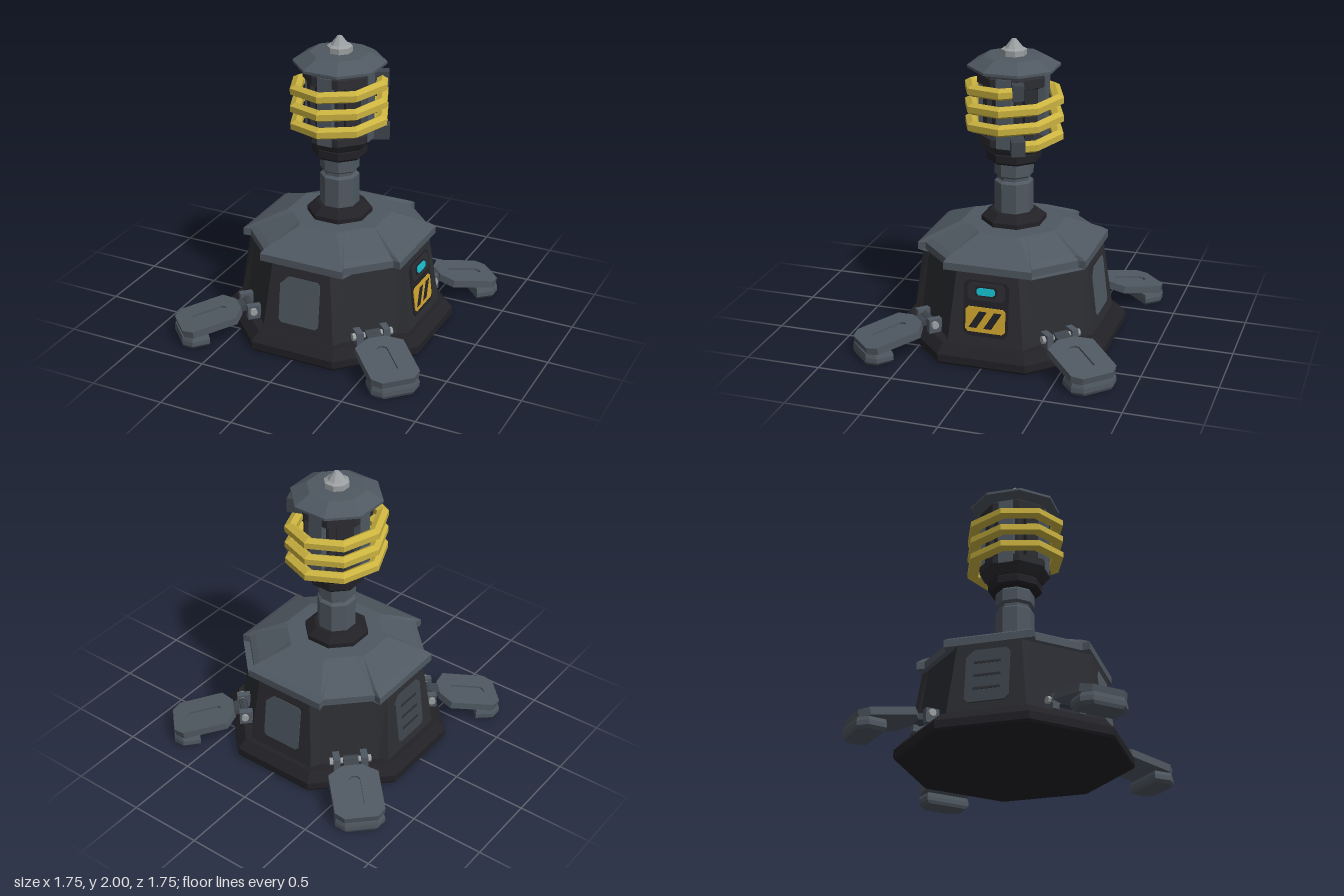
import * as THREE from 'three';

const mat = (name, color) => {
  const m = new THREE.MeshStandardMaterial({ color, flatShading: true });
  m.name = name;
  return m;
};

export function createModel() {
  const black = mat('black', 0x222126), dark = mat('dark body', 0x2c2d32);
  const slate = mat('slate', 0x3d444b), grey = mat('grey', 0x4f5861);
  const steel = mat('pale steel', 0x9a9fa1), coilYellow = mat('coil yellow', 0xcbb340);
  const signYellow = mat('sign yellow', 0xcfa42e), cyan = mat('cyan', 0x16c2d2);

  const root = new THREE.Group();
  root.name = 'beaconTower';
  const add = (parent, name, geo, m, x = 0, y = 0, z = 0) => {
    const mesh = new THREE.Mesh(geo, m);
    mesh.name = name;
    mesh.position.set(x, y, z);
    parent.add(mesh);
    return mesh;
  };
  const group = (parent, name, angle = 0) => {
    const g = new THREE.Group();
    g.name = name;
    g.rotation.y = angle;
    parent.add(g);
    return g;
  };
  const box = (w, h, d) => new THREE.BoxGeometry(w, h, d);

  // Octagonal solid with flats on the axes; the profile gives [apothem, y] upwards
  const octagon = (name, m, profile) => add(root, name, new THREE.LatheGeometry(
    profile.map(([r, y]) => new THREE.Vector2(r / Math.cos(Math.PI / 8), y)), 8, Math.PI / 8), m);

  // Joins rings of points with quads, and closes both ends with fans
  const loft = (rings) => {
    const n = rings[0].length, pos = rings.flat(2), idx = [];
    for (let i = 0; i < rings.length - 1; i++) for (let j = 0; j < n; j++) {
      const a = i * n + j, b = i * n + (j + 1) % n;
      idx.push(a, a + n, b, b, a + n, b + n);
    }
    const last = (rings.length - 1) * n;
    for (let j = 1; j < n - 1; j++) idx.push(0, j, j + 1, last, last + j + 1, last + j);
    const g = new THREE.BufferGeometry();
    g.setAttribute('position', new THREE.Float32BufferAttribute(pos, 3));
    g.setIndex(idx);
    g.computeVertexNormals();
    return g;
  };
  // 16-point outline: an axis face to (a, b), then a corner point (c, d), mirrored round
  const ring = (y, a, b, c, d) => {
    const out = [];
    for (let k = 0; k < 4; k++) {
      const s = Math.sin(k * Math.PI / 2), t = Math.cos(k * Math.PI / 2);
      for (const [x, z] of [[a, -b], [a, b], [c, d], [d, c]]) out.push([x * t - z * s, y, x * s + z * t]);
    }
    return out;
  };

  // Plinth, housing and roof, both with recessed diagonals
  octagon('plinth', black, [[0, 0], [0.7, 0], [0.71, 0.015], [0.71, 0.065], [0.655, 0.125], [0, 0.125]]);
  add(root, 'housing', loft([ring(0.12, 0.622, 0.255, 0.56, 0.285), ring(0.62, 0.562, 0.205, 0.505, 0.25)]), dark);
  add(root, 'roof', loft([
    ring(0.6, 0.572, 0.295, 0.522, 0.285), ring(0.65, 0.572, 0.295, 0.522, 0.285),
    ring(0.675, 0.53, 0.275, 0.485, 0.265), ring(0.775, 0.32, 0.133, 0.265, 0.165)]), grey);

  // Mast
  octagon('mastCollar', black, [[0.2, 0.77], [0.2, 0.805], [0.145, 0.85], [0, 0.85]]);
  octagon('mast', grey, [[0.12, 0.84], [0.12, 1.05], [0.1, 1.065], [0.1, 1.085],
    [0.12, 1.1], [0.12, 1.18], [0.105, 1.2]]);
  octagon('neckRing', black, [[0.1, 1.195], [0.155, 1.195], [0.168, 1.21], [0.168, 1.26], [0.15, 1.275], [0, 1.275]]);

  // Coil core with flared ends and ribs
  octagon('core', dark, [[0, 1.27], [0.175, 1.27], [0.22, 1.33], [0.22, 1.38], [0.175, 1.4],
    [0.175, 1.7], [0.22, 1.72], [0.22, 1.78], [0.2, 1.8], [0, 1.8]]);
  for (let k = 0; k < 8; k++) {
    const rib = group(root, 'coreRib', k * Math.PI / 4);
    const wide = k % 2 === 0;
    add(rib, 'rib', box(wide ? 0.1 : 0.06, 0.46, 0.06), wide ? grey : dark, 0, 1.555, wide ? 0.195 : 0.18);
  }

  // Cap and finial
  octagon('cap', grey, [[0, 1.795], [0.2, 1.795], [0.28, 1.818], [0.28, 1.835], [0.18, 1.895], [0, 1.9]]);
  octagon('finial', steel, [[0.077, 1.895], [0.077, 1.935], [0.055, 1.945], [0.022, 1.99], [0.015, 2], [0, 2]]);

  // Three-turn coil with a six-sided section; one turn is 1, starting at the back
  const turns = [-0.1875];
  for (let t = -0.125; t < 2.8; t += 0.125) turns.push(t);
  turns.push(2.8125);
  add(root, 'coil', loft(turns.map((t) => {
    const a = t * Math.PI * 2;
    const squeeze = Math.abs((t * 8) % 1) > 0.1 ? Math.cos(Math.PI / 8) : 1;
    return Array.from({ length: 6 }, (_, i) => {
      const b = (i + 0.5) * Math.PI / 3;
      const r = (0.297 + 0.044 * Math.cos(b)) * squeeze;
      return [-r * Math.sin(a), 1.38 + 0.12 * t + 0.04 * Math.sin(b), -r * Math.cos(a)];
    });
  })), coilYellow);
  // Clamps holding the coil ends
  const clamps = group(root, 'coilClamps', Math.PI * 0.625);
  add(clamps, 'lowerClamp', box(0.09, 0.095, 0.14), slate, 0, 1.36, 0.255);
  add(clamps, 'upperClamp', box(0.075, 0.1, 0.135), slate, 0, 1.725, 0.25);

  // Flat plate extruded towards +z, from points or a chamfered rectangle
  const shapeOf = (pts) => new THREE.Shape(pts.map(([x, y]) => new THREE.Vector2(x, y)));
  const plate = (shape, depth) => new THREE.ExtrudeGeometry(shape, { depth, bevelEnabled: false });
  const rect = (w, h, c, topLeft = c) => shapeOf([[-w + c, -h], [w - c, -h], [w, -h + c], [w, h - c],
    [w - c, h], [-w + topLeft, h], [-w, h - topLeft], [-w, -h + c]]);
  // Group lying on one sloping housing face, centred at y = 0.37
  const face = (name, angle) => {
    const tilt = group(group(root, name, angle), name + 'Slope');
    tilt.position.set(0, 0.37, 0.59);
    tilt.rotation.x = -0.12;
    return tilt;
  };

  // Front and back inspection panels
  for (const [name, angle] of [['frontPanel', 0], ['backPanel', Math.PI]]) {
    add(face(name, angle), name, plate(rect(0.143, 0.165, 0.02, 0.06), 0.006), grey);
  }

  // Control panel on the left side
  const control = face('controlPanel', Math.PI / 2);
  add(control, 'controlFrame', plate(rect(0.15, 0.185, 0.025), 0.009), black);
  add(control, 'lampHousing', plate(rect(0.125, 0.058, 0.02), 0.009), dark, 0, 0.115, 0.006);
  add(control, 'lampRecess', plate(rect(0.075, 0.036, 0.015), 0.004), black, 0, 0.117, 0.013);
  add(control, 'lamp', plate(rect(0.06, 0.024, 0.012), 0.012), cyan, 0, 0.117, 0.013);
  add(control, 'warningSign', plate(rect(0.133, 0.084, 0.018), 0.008), signYellow, 0, -0.073, 0.007);
  for (const x of [-0.05, 0.05]) {
    add(control, 'warningStripe', plate(shapeOf([[-0.06, -0.056], [-0.008, -0.056], [0.06, 0.056], [0.008, 0.056]]), 0.003),
      black, x, -0.073, 0.0145);
  }

  // Vent panel on the right side
  const vent = face('ventPanel', -Math.PI / 2);
  add(vent, 'ventPlate', plate(rect(0.14, 0.18, 0.025, 0.05), 0.014), slate);
  for (const y of [-0.09, 0, 0.09]) add(vent, 'ventSlot', box(0.17, 0.016, 0.006), dark, 0, y, 0.014);

  // Four hinged legs on the diagonals; local z runs outwards
  const footEnd = [[0.163, 0.4], [0.107, 0.455], [-0.107, 0.455], [-0.163, 0.4]];
  const legOutline = [[-0.064, 0.034], [0.064, 0.034], [0.165, 0.1], ...footEnd, [-0.165, 0.1]];
  const flat = (shape, depth) => plate(shape, depth).rotateX(Math.PI / 2);
  const slotted = shapeOf(legOutline);
  slotted.holes.push(new THREE.Path([[-0.036, 0.145], [-0.016, 0.125], [0.016, 0.125], [0.036, 0.145],
    [0.036, 0.345], [0.016, 0.365], [-0.016, 0.365], [-0.036, 0.345]].map(([x, y]) => new THREE.Vector2(x, y))));
  // Foot pad outline shrunk about its middle at a given height
  const footRing = (y, k) => [[-0.155, 0.28], [0.155, 0.28], ...footEnd].map(([x, z]) => [x * k, y, 0.37 + (z - 0.37) * k]);
  const foot = loft([footRing(0, 0.9), footRing(0.02, 1), footRing(0.05, 1), footRing(0.075, 0.95)]);
  const barrel = (r, l) => new THREE.CylinderGeometry(r, r, l, 8).rotateZ(Math.PI / 2);
  for (let k = 0; k < 4; k++) {
    const leg = group(root, 'leg', Math.PI / 4 + k * Math.PI / 2);
    const paddle = group(leg, 'paddle');
    paddle.position.set(0, 0.205, 0.68);
    paddle.rotation.x = 0.19;
    add(paddle, 'paddleTop', flat(slotted, 0.014), grey);
    add(paddle, 'paddleBase', flat(shapeOf(legOutline), 0.036), grey, 0, -0.014, 0);
    add(paddle, 'arm', box(0.1, 0.04, 0.12), slate, 0, -0.024, 0.01);
    add(leg, 'foot', foot, grey, 0, 0, 0.675);
    // Hinge
    add(leg, 'hingePin', barrel(0.02, 0.26), steel, 0, 0.185, 0.645);
    add(leg, 'hingeBarrel', barrel(0.032, 0.1), slate, 0, 0.185, 0.645);
    for (const s of [-1, 1]) {
      add(leg, 'hingeBracket', box(0.045, 0.095, 0.09), grey, s * 0.092, 0.172, 0.635);
      add(leg, 'hingeBolt', barrel(0.025, 0.022), steel, s * 0.126, 0.185, 0.645);
    }
  }
  return root;
}
